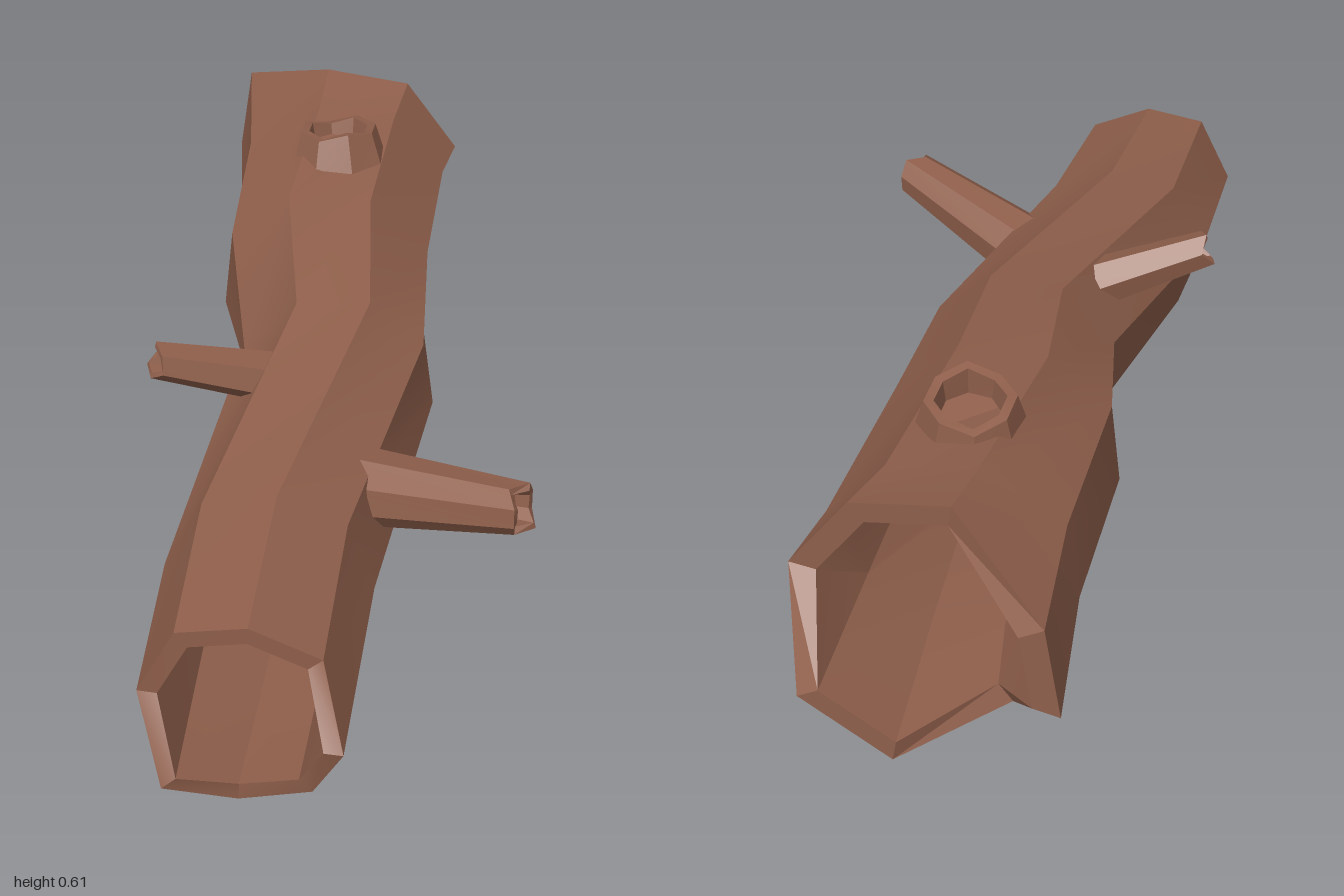
import * as THREE from 'three';
import { toCreasedNormals } from 'three/addons/utils/BufferGeometryUtils.js';

const bark = new THREE.MeshStandardMaterial({ color: 0x8f5f4b });

// Skin a list of equal-sized point rings; each ring runs counterclockwise seen from the first end.
function loft(rings, closed) {
  const pos = [];
  const n = rings[0].length;
  const last = closed ? rings.length : rings.length - 1;
  for (let i = 0; i < last; i++) {
    const r = rings[i], s = rings[(i + 1) % rings.length];
    for (let j = 0; j < n; j++) {
      const k = (j + 1) % n;
      for (const p of [r[j], s[j], r[k], r[k], s[j], s[k]]) pos.push(p.x, p.y, p.z);
    }
  }
  const g = new THREE.BufferGeometry();
  g.setAttribute('position', new THREE.Float32BufferAttribute(pos, 3));
  return toCreasedNormals(g, 0.5);
}

function addMesh(group, geometry, name) {
  const mesh = new THREE.Mesh(geometry, bark);
  mesh.name = name;
  group.add(mesh);
}

// Cross-sections from front to back as x, y pairs, with a depth for each ring or each corner.
const sections = [
  { z: [0.94, 0.96, 1.0, 0.91, 0.91, 0.91, 0.905, 0.985],
    xy: [-0.135, 0, 0, 0.046, 0.058, 0.173, 0.017, 0.308, -0.112, 0.371, -0.24, 0.354, -0.3125, 0.215, -0.265, 0.06] },
  { z: 0.57,
    xy: [-0.11, 0.008, 0.03, 0.055, 0.085, 0.195, 0.035, 0.34, -0.095, 0.4, -0.235, 0.375, -0.31, 0.23, -0.26, 0.07] },
  { z: 0,
    xy: [-0.06, 0.075, 0.08, 0.105, 0.172, 0.235, 0.15, 0.375, 0.04, 0.472, -0.11, 0.465, -0.22, 0.35, -0.19, 0.175] },
  { z: -0.32,
    xy: [-0.15, 0.135, 0.01, 0.13, 0.135, 0.25, 0.145, 0.41, 0.02, 0.53, -0.155, 0.535, -0.28, 0.44, -0.3, 0.265] },
  { z: -0.7,
    xy: [-0.19, 0.165, -0.02, 0.145, 0.13, 0.25, 0.165, 0.405, 0.05, 0.535, -0.12, 0.56, -0.28, 0.465, -0.305, 0.3] },
  { z: [-0.85, -1, -1, -0.84, -0.84, -0.84, -1, -1],
    xy: [-0.22, 0.165, -0.04, 0.125, 0.13, 0.24, 0.19, 0.4, 0.075, 0.56, -0.11, 0.59, -0.31, 0.5, -0.34, 0.305] },
];

function trunkRing({ z, xy }, scale) {
  const pts = [];
  for (let j = 0; j < 8; j++) {
    pts.push(new THREE.Vector3(xy[2 * j], xy[2 * j + 1], Array.isArray(z) ? z[j] : z));
  }
  const c = new THREE.Vector3();
  pts.forEach((p) => c.addScaledVector(p, 1 / 8));
  return pts.map((p) => new THREE.Vector3(c.x + (p.x - c.x) * scale, c.y + (p.y - c.y) * scale, p.z));
}

// Broken branch with a shallow cup in its uneven tip.
function stub({ base, tip, r0, r1, sides, hole, cup, jag }) {
  const a = new THREE.Vector3(...base), b = new THREE.Vector3(...tip);
  const length = a.distanceTo(b);
  const q = new THREE.Quaternion().setFromUnitVectors(
    new THREE.Vector3(0, 0, 1), b.clone().sub(a).normalize());
  const ring = (r, h, uneven) => Array.from({ length: sides }, (_, j) => {
    const t = ((j + 0.5) / sides) * Math.PI * 2;
    const p = new THREE.Vector3(r * Math.cos(t), r * Math.sin(t), h + uneven * Math.sin(j * 2.3));
    return p.applyQuaternion(q).add(a);
  });
  return loft([
    ring(0.001, length - cup, 0),
    ring(r1 * hole * 0.9, length - cup, 0),
    ring(r1 * hole, length, jag),
    ring(r1, length, jag),
    ring(r0, 0, 0),
  ], false);
}

export function createModel() {
  const log = new THREE.Group();
  log.name = 'hollowLog';

  // Trunk: outer bark front to back, then the inner wall back to front
  const outer = sections.map((s) => trunkRing(s, 1));
  const inner = sections.map((s) => trunkRing(s, 0.81)).reverse();
  addMesh(log, loft([...outer, ...inner], true), 'trunk');

  // Side branches and the knot on top
  addMesh(log, stub({ base: [0.02, 0.28, 0.36], tip: [0.355, 0.357, 0.52],
    r0: 0.08, r1: 0.05, sides: 8, hole: 0.7, cup: 0.03, jag: 0.014 }), 'leftBranch');
  addMesh(log, stub({ base: [-0.12, 0.375, 0.145], tip: [-0.365, 0.46, 0.225],
    r0: 0.055, r1: 0.038, sides: 6, hole: 0.7, cup: 0.025, jag: 0.012 }), 'rightBranch');
  addMesh(log, stub({ base: [-0.06, 0.5, -0.53], tip: [-0.065, 0.588, -0.545],
    r0: 0.11, r1: 0.085, sides: 8, hole: 0.78, cup: 0.05, jag: 0.008 }), 'topKnot');

  return log;
}
